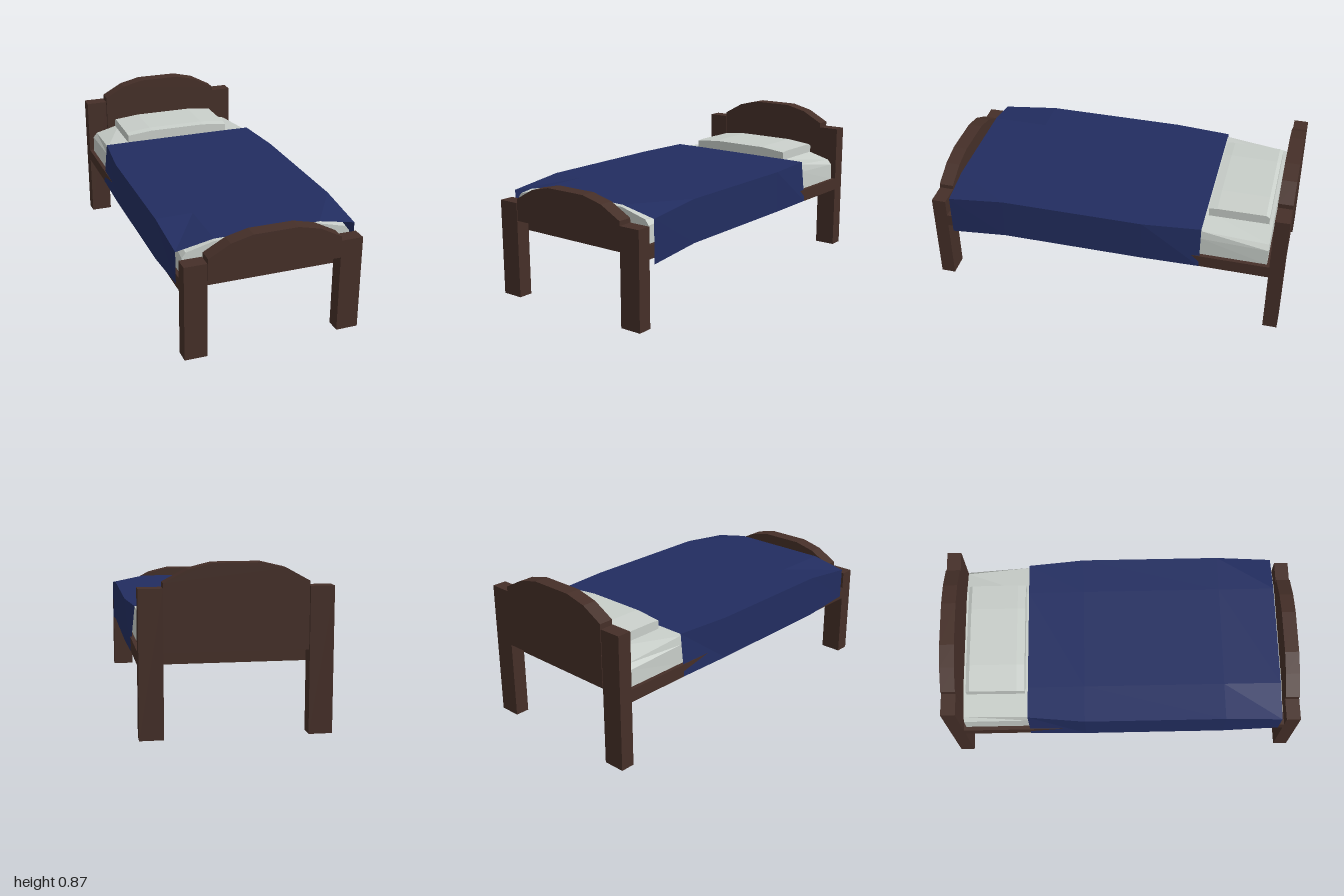
import * as THREE from 'three';

const paint = (color, side = THREE.FrontSide) =>
  new THREE.MeshStandardMaterial({ color, side, flatShading: true });
const wood = paint(0x452f28);
const linen = paint(0xc8cec9);
const cloth = paint(0x222d60, THREE.DoubleSide);

// Skin over cross-sections ordered by rising z; each runs from +x over the top to -x.
function loft(rings, closed) {
  const n = rings[0].length;
  const index = [];
  for (let i = 0; i < rings.length - 1; i++) {
    for (let j = 0; j < (closed ? n : n - 1); j++) {
      const k = (j + 1) % n;
      const a = i * n + j, b = i * n + k, c = b + n, d = a + n;
      index.push(a, b, c, a, c, d);
    }
  }
  if (closed) {
    const last = (rings.length - 1) * n;
    for (let j = 1; j < n - 1; j++) {
      index.push(0, j + 1, j, last, last + j, last + j + 1);
    }
  }
  const geometry = new THREE.BufferGeometry();
  geometry.setAttribute('position', new THREE.Float32BufferAttribute(rings.flat(2), 3));
  geometry.setIndex(index);
  geometry.computeVertexNormals();
  return geometry;
}

// Symmetric section from its +x half.
const section = (z, half) => [
  ...half.map(([x, y]) => [x, y, z]),
  ...half.slice().reverse().map(([x, y]) => [-x, y, z]),
];

export function createModel() {
  const group = new THREE.Group();
  const add = (name, geometry, material, x = 0, y = 0, z = 0) => {
    const mesh = new THREE.Mesh(geometry, material);
    mesh.name = name;
    mesh.position.set(x, y, z);
    group.add(mesh);
  };

  // Posts and arched panels at both ends
  const endBoard = (postName, panelName, z, postHeight, top) => {
    for (const side of [-1, 1]) {
      add(postName, new THREE.BoxGeometry(0.122, postHeight, 0.08), wood,
        side * 0.426, postHeight / 2, z);
    }
    const arch = new THREE.Shape([
      [-0.361, 0.433], [0.365, 0.433], [0.365, top - 0.094], [0.243, top - 0.029],
      [0.122, top], [-0.122, top], [-0.243, top - 0.029], [-0.361, top - 0.094],
    ].map(([x, y]) => new THREE.Vector2(x, y)));
    add(panelName, new THREE.ExtrudeGeometry(arch, { depth: 0.08, bevelEnabled: false }),
      wood, 0, 0, z - 0.04);
  };
  endBoard('headPost', 'headboard', -0.96, 0.75, 0.87);
  endBoard('footPost', 'footboard', 0.96, 0.53, 0.648);

  // Slab base between the ends
  add('bedBase', new THREE.BoxGeometry(0.974, 0.07, 1.84), wood, 0, 0.398, 0);

  // Mattress, its top corners drooping at head and foot
  const end = [[0.465, 0.433], [0.462, 0.525], [0.44, 0.553], [0.29, 0.592]];
  const middle = [[0.465, 0.433], [0.465, 0.54], [0.458, 0.587], [0.29, 0.596]];
  add('mattress', loft([
    section(-0.905, end), section(-0.54, middle),
    section(0.57, middle), section(0.895, end),
  ], true), linen);

  // Pillow
  const pillow = (z, x, y) =>
    section(z, [[x, 0.593], [x, y - 0.015], [0.17, y]]);
  add('pillow', loft([
    pillow(-0.885, 0.32, 0.648), pillow(-0.865, 0.32, 0.66),
    pillow(-0.6, 0.322, 0.66), pillow(-0.555, 0.322, 0.655),
  ], true), linen);

  // Blanket: z, top edge x and y, hem x, hem y on the left and right sides
  add('blanket', loft([
    [-0.54, 0.465, 0.602, 0.49, 0.365, 0.365],
    [-0.22, 0.495, 0.6, 0.497, 0.365, 0.365],
    [0.57, 0.495, 0.6, 0.497, 0.365, 0.365],
    [0.89, 0.493, 0.563, 0.492, 0.33, 0.387],
  ].map(([z, edgeX, edgeY, hemX, hemLeft, hemRight]) => [
    [hemX, hemLeft, z], [edgeX, edgeY, z], [0.29, 0.603, z],
    [-0.29, 0.603, z], [-edgeX, edgeY, z], [-hemX, hemRight, z],
  ]), false), cloth);

  return group;
}
